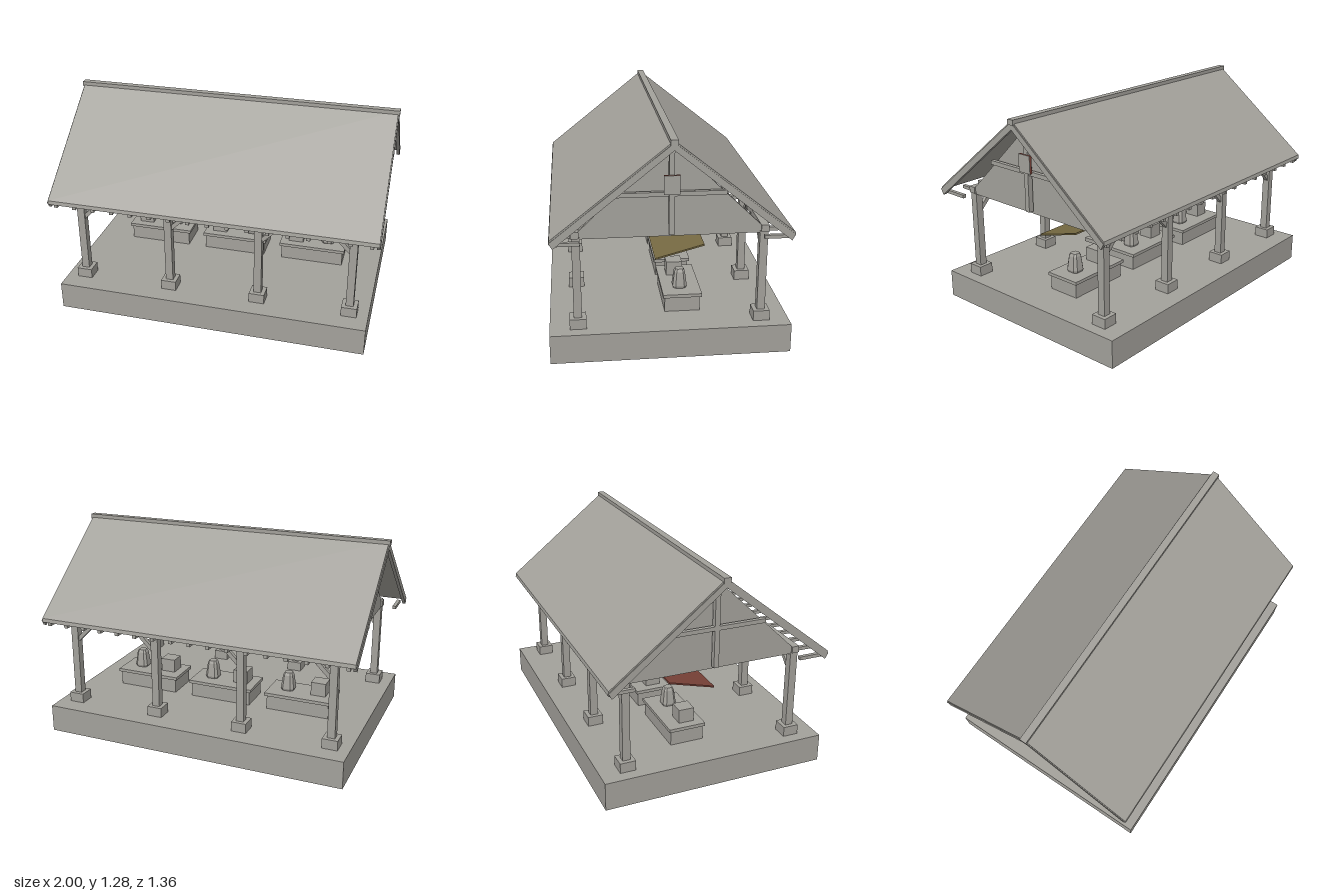
import * as THREE from 'three';

const mat = (name, color) => {
  const m = new THREE.MeshStandardMaterial({ color });
  m.name = name;
  return m;
};

export function createModel() {
  const model = new THREE.Group();
  model.name = 'marketHall';
  const grey = mat('weathered grey', 0xa3a19b);
  const red = mat('red cloth', 0x7a4238);
  const pale = mat('grey cloth', 0x8e8e8e);
  const ochre = mat('ochre cloth', 0x776a42);

  const add = (name, geo, x, y, z, m = grey, parent = model) => {
    const mesh = new THREE.Mesh(geo, m);
    mesh.name = name;
    mesh.position.set(x, y, z);
    parent.add(mesh);
    return mesh;
  };
  // Box given by its extents on each axis
  const block = (name, [x0, x1], [y0, y1], [z0, z1], m = grey, parent = model) =>
    add(name, new THREE.BoxGeometry(x1 - x0, y1 - y0, z1 - z0),
      (x0 + x1) / 2, (y0 + y1) / 2, (z0 + z1) / 2, m, parent);
  // Profile in (z, y), extruded along x between x0 and x1
  const alongX = (name, pts, x0, x1) => {
    const shape = new THREE.Shape(pts.map(([z, y]) => new THREE.Vector2(-z, y)));
    const geo = new THREE.ExtrudeGeometry(shape, { depth: x1 - x0, bevelEnabled: false });
    geo.rotateY(Math.PI / 2);
    return add(name, geo, x0, 0, 0);
  };
  // Symmetrical chevron from its right half: outer top, outer eave, inner eave, inner top
  const chevron = ([a, b, c, d]) => [a, b, c, d, [-c[0], c[1]], [-b[0], b[1]]];

  // Plinth
  block('plinth', [-0.955, 0.955], [0, 0.17], [-0.68, 0.68]);

  // Posts with footings, braces and tie beams
  const postX = [-0.84, -0.28, 0.28, 0.84];
  for (const x of postX) {
    for (const z of [-0.52, 0.52]) {
      block('postFooting', [x - 0.047, x + 0.047], [0.17, 0.23], [z - 0.047, z + 0.047]);
      block('post', [x - 0.023, x + 0.023], [0.23, 0.71], [z - 0.023, z + 0.023]);
      const s = x > 0.5 ? -1 : 1;
      const brace = add('brace', new THREE.BoxGeometry(0.025, 0.18, 0.025), x + s * 0.072, 0.645, z);
      brace.rotation.z = -s * 0.79;
    }
    block('tieBeam', [x - 0.02, x + 0.02], [0.70, 0.722], [-0.55, 0.55]);
  }
  for (const s of [-1, 1]) {
    const z = s * 0.525;
    block('wallPlate', [-0.87, 0.87], [0.705, 0.745], [z - 0.022, z + 0.022]);
    // Short rafter tails under the eaves
    for (let i = 0; i < 17; i++) {
      const x = -0.948 + i * 0.1185;
      block('rafterTail', [x - 0.011, x + 0.011], [0.70, 0.72],
        s > 0 ? [0.50, 0.65] : [-0.65, -0.50]);
    }
  }

  // Roof covering, ridge cap and end rafters
  alongX('roof', chevron([[0, 1.272], [0.66, 0.747], [0.664, 0.724], [0, 1.25]]), -0.99, 0.99);
  block('ridgeCap', [-1, 1], [1.247, 1.278], [-0.021, 0.021]);
  for (const x of [-0.985, 0.985]) {
    alongX('endRafter', chevron([[0, 1.262], [0.662, 0.735], [0.643, 0.70], [0, 1.22]]), x - 0.01, x + 0.01);
  }

  // Gables with king post and collar beam
  for (const s of [-1, 1]) {
    alongX('gable', [[-0.55, 0.70], [0.55, 0.70], [0, 1.23]], s * 0.85 - 0.01, s * 0.85 + 0.01);
    const x = s * 0.885;
    block('kingPost', [x - 0.016, x + 0.016], [0.72, 1.22], [-0.015, 0.015]);
    block('collarBeam', [x - 0.012, x + 0.012], [0.94, 0.965], [-0.3, 0.3]);
  }
  // Sign on one gable
  block('signBoard', [0.896, 0.909], [0.955, 1.06], [-0.044, 0.044], red);
  block('signFace', [0.909, 0.912], [0.955, 1.06], [-0.044, 0.044]);

  // Tapered jar: chamfered square section scaled by height
  const jarGeometry = () => {
    const a = 0.6, pts = [[1, a], [a, 1], [-a, 1], [-1, a], [-1, -a], [-a, -1], [a, -1], [1, -a]];
    const geo = new THREE.ExtrudeGeometry(
      new THREE.Shape(pts.map(p => new THREE.Vector2(...p))),
      { depth: 3, steps: 3, bevelEnabled: false });
    geo.rotateX(-Math.PI / 2);
    const profile = [[0.037, 0], [0.042, 0.014], [0.031, 0.1], [0.023, 0.117]];
    const p = geo.attributes.position;
    for (let i = 0; i < p.count; i++) {
      const [r, y] = profile[Math.round(p.getY(i))];
      p.setXYZ(i, p.getX(i) * r, y, p.getZ(i) * r);
    }
    geo.computeVertexNormals();
    return geo;
  };

  // Three stalls, each with a counter, goods and a hanging canopy
  [[-0.52, red], [0, pale], [0.52, ochre]].forEach(([x, cloth]) => {
    const stall = new THREE.Group();
    stall.name = 'stall';
    stall.position.x = x;
    model.add(stall);
    block('counter', [-0.2, 0.2], [0.17, 0.26], [-0.19, 0.015], grey, stall);
    block('counterTop', [-0.213, 0.213], [0.26, 0.28], [-0.202, 0.025], grey, stall);
    block('crate', [-0.16, -0.065], [0.28, 0.365], [-0.12, -0.025], grey, stall);
    add('jar', jarGeometry(), 0.093, 0.28, -0.083, grey, stall);
    const canopy = add('canopy', new THREE.BoxGeometry(0.435, 0.009, 0.294), 0, 0.549, -0.068, cloth, stall);
    canopy.rotation.x = 0.265;
  });

  return model;
}
